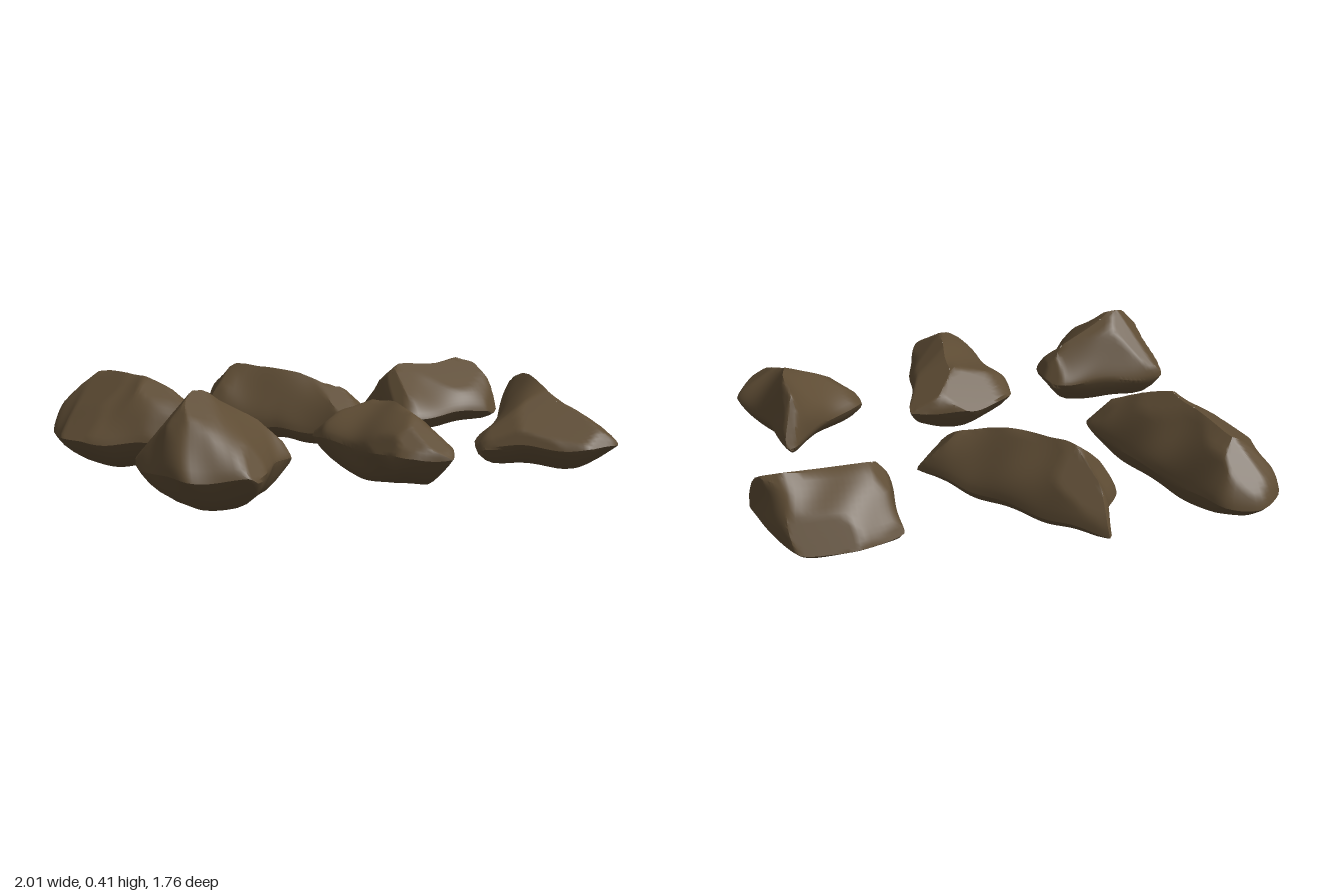
import * as THREE from 'three';
import { toCreasedNormals } from 'three/addons/utils/BufferGeometryUtils.js';

const AROUND = 84, LOWER = 8, UPPER = 14;

function seeded(seed) {
  let s = seed * 7919 + 17;
  return () => (s = (s * 16807) % 2147483647) / 2147483647;
}

// Rock: a widest outline [x, z] at height belt, closing up to a straight crest [x, y, z]
// and down to a base; a smaller bulge makes steeper sides and a flatter top
function rockGeometry(seed, base, belt, bulge, outline, crest) {
  const rand = seeded(seed);
  const ring = new THREE.CatmullRomCurve3(
    outline.map(([x, z]) => new THREE.Vector3(x, belt, z)), true, 'catmullrom', 0.25
  ).getSpacedPoints(AROUND).slice(0, AROUND);
  const centre = new THREE.Vector3();
  ring.forEach(p => centre.addScaledVector(p, 1 / AROUND));

  // Each outline point rises to the point of the crest nearest in plan
  const [start, end] = crest.map(c => new THREE.Vector3(...c));
  const run = end.clone().sub(start);
  const tops = ring.map(p => {
    const t = ((p.x - start.x) * run.x + (p.z - start.z) * run.z) / (run.x ** 2 + run.z ** 2);
    return start.clone().addScaledVector(run, THREE.MathUtils.clamp(t, 0, 1));
  });

  // Rings from the middle of the underside up to the crest
  const pts = [];
  for (let j = 0; j <= LOWER + UPPER; j++) {
    ring.forEach((p, i) => {
      const v = p.clone();
      if (j < LOWER) {
        const s = (1 - j / LOWER) ** 1.5;
        v.lerp(centre, s);
        v.y = belt + (base - belt) * (1 - (1 - s) ** 4);
      } else {
        const s = ((j - LOWER) / UPPER) ** 1.5;
        v.lerp(tops[i], s);
        v.y = belt + (tops[i].y - belt) * s ** bulge;
      }
      pts.push(v);
    });
  }

  // Worn, uneven surface
  const ph = [rand() * 6, rand() * 6, rand() * 6];
  pts.forEach(v => {
    const { x, y, z } = v;
    v.x += 0.007 * Math.sin(17 * z + 21 * y + ph[0]);
    v.z += 0.007 * Math.sin(19 * x + 15 * y + ph[1]);
    v.y += 0.008 * Math.sin(16 * x + 13 * z + ph[2]);
  });

  // Chipped flat faces
  for (let k = 0; k < 16; k++) {
    const a = k * 2.4 + rand();
    const n = new THREE.Vector3(Math.cos(a), 0.3 + rand() * 1.5, Math.sin(a)).normalize();
    const limit = Math.max(...pts.map(v => v.dot(n))) - 0.005 - 0.022 * rand();
    pts.forEach(v => {
      const over = v.dot(n) - limit;
      if (over > 0) v.addScaledVector(n, -over);
    });
  }
  pts.forEach(v => { v.y = Math.max(v.y, base); });

  const index = [];
  for (let j = 0; j < LOWER + UPPER; j++) {
    for (let i = 0; i < AROUND; i++) {
      const a = j * AROUND + i, b = j * AROUND + (i + 1) % AROUND;
      const d = a + AROUND, c = b + AROUND;
      index.push(a, d, c, a, c, b);
    }
  }
  const geo = new THREE.BufferGeometry().setFromPoints(pts);
  geo.setIndex(index);
  return toCreasedNormals(geo, 0.6);
}

export function createModel() {
  const group = new THREE.Group();
  group.name = 'rocks';
  const stone = new THREE.MeshStandardMaterial({ color: 0x5e4c34 });
  stone.name = 'brown stone';

  function addRock(name, ...shape) {
    const mesh = new THREE.Mesh(rockGeometry(group.children.length + 1, ...shape), stone);
    mesh.name = name;
    group.add(mesh);
  }

  // Long ridged slab
  addRock('backRightRock', 0, 0.12, 0.72,
    [[-0.92, -0.8], [-0.8, -0.88], [-0.66, -0.84], [-0.55, -0.58],
      [-0.43, -0.1], [-0.5, 0.05], [-0.87, -0.2], [-1.01, -0.4]],
    [[-0.74, 0.37, -0.74], [-0.66, 0.37, -0.28]]);

  // Slanting narrow rock
  addRock('backMiddleRock', 0.04, 0.1, 0.62,
    [[-0.2, -0.87], [0.02, -0.62], [0.22, -0.34], [0.33, -0.15],
      [0.12, -0.03], [-0.1, -0.32], [-0.34, -0.55], [-0.26, -0.68]],
    [[-0.15, 0.37, -0.61], [0.13, 0.3, -0.22]]);

  // Squarish wedge
  addRock('backLeftRock', 0.05, 0.12, 0.72,
    [[0.48, -0.35], [0.51, -0.64], [0.7, -0.71], [0.9, -0.67],
      [1.01, -0.26], [0.75, -0.2], [0.48, -0.18]],
    [[0.55, 0.32, -0.45], [0.97, 0.36, -0.43]]);

  // Tall peaked rock with a side spur
  addRock('frontRightRock', 0.01, 0.14, 0.72,
    [[-0.92, 0.26], [-0.75, 0.26], [-0.42, 0.32], [-0.39, 0.48],
      [-0.51, 0.56], [-0.65, 0.76], [-0.88, 0.68], [-0.94, 0.54]],
    [[-0.76, 0.47, 0.41], [-0.48, 0.26, 0.42]]);

  // Long rounded rock
  addRock('frontMiddleRock', 0.03, 0.17, 0.55,
    [[-0.2, 0.22], [0, 0.11], [0.26, 0.18], [0.2, 0.4],
      [0.12, 0.72], [0.02, 0.88], [-0.13, 0.8], [-0.18, 0.5]],
    [[0.07, 0.32, 0.25], [0, 0.3, 0.74]]);

  // Three-cornered rock
  addRock('frontLeftRock', 0.03, 0.13, 0.7,
    [[0.78, 0.1], [0.84, 0.35], [0.92, 0.6], [0.84, 0.79],
      [0.69, 0.81], [0.52, 0.64], [0.37, 0.48], [0.61, 0.28]],
    [[0.77, 0.37, 0.19], [0.72, 0.29, 0.6]]);

  return group;
}
